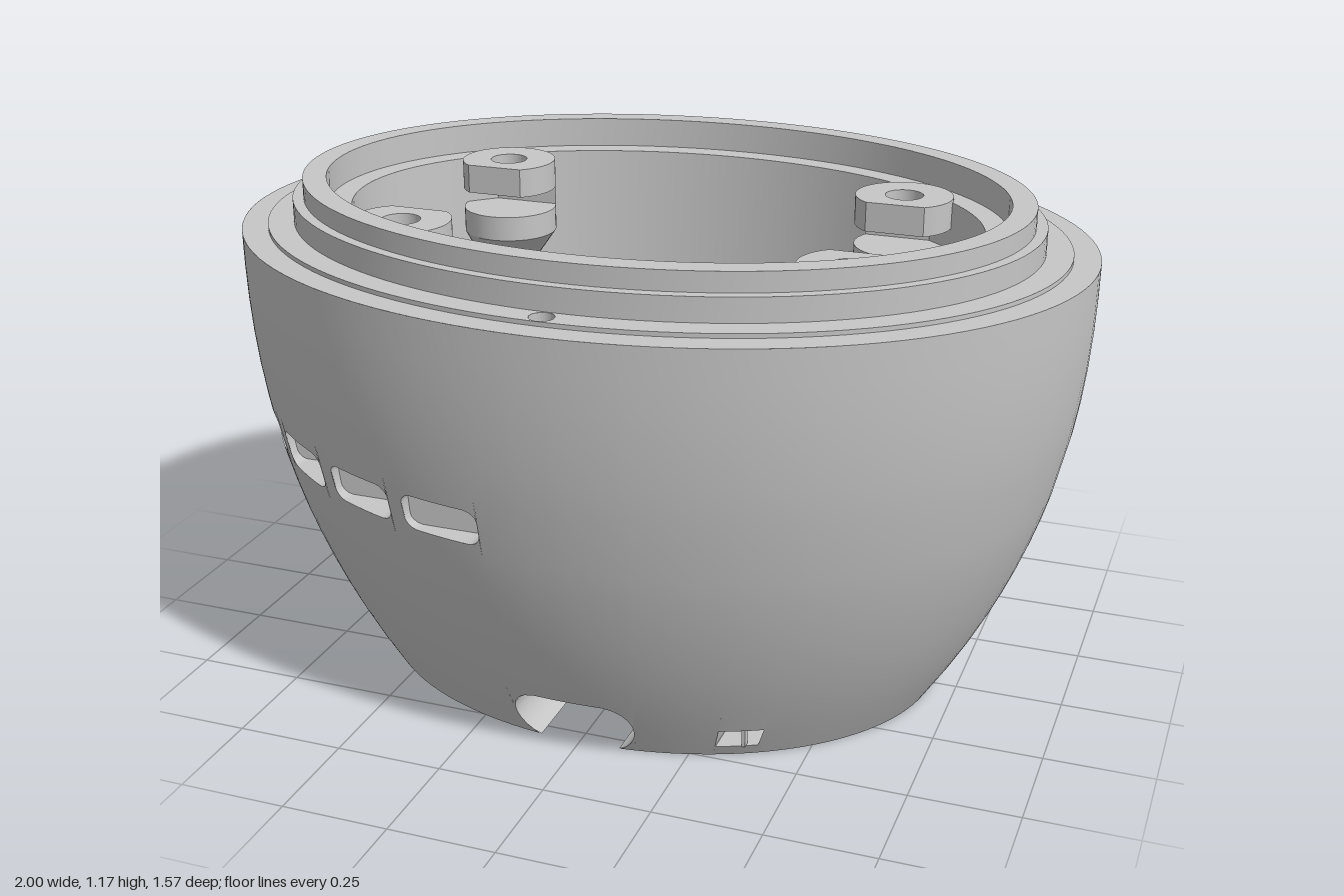
import * as THREE from 'three';
import { toCreasedNormals } from 'three/addons/utils/BufferGeometryUtils.js';

const grey = new THREE.MeshStandardMaterial({ color: 0xc6c6c6, side: THREE.DoubleSide });
grey.name = 'plain grey';

const ellipse = (rx, rz, th, y) => [rx * Math.sin(th), y, rz * Math.cos(th)];
// Curved outer wall and steep inner wall; angle 0 is the front, +x is positive
const outerWall = (th, y) => {
  const t = Math.pow(Math.max(0, 1 - y / 1.06), 2.3);
  return ellipse(1 - 0.31 * t, 0.785 - 0.245 * t, th, y);
};
const innerWall = (th, y) => {
  const t = 0.03 * (1.1 - y) / 0.85;
  return ellipse(0.745 - t, 0.53 - t, th, y);
};

// Openings: c = centre angle, a = half angle, ra/ry = corner radii, gable = height of a pointed top
const deg = Math.PI / 180;
const slots = [[-82, -72.5], [-69, -54.4], [-51, -38], [-35, -22.9], [-20.3, -8.3]].map(([p, q]) => ({
  c: (p + q) / 2 * deg, a: (q - p) / 2 * deg, ra: 2 * deg, ry: 0.025, y0: 0.555, y1: 0.64 }));
const notch = { c: 0, a: 0.195, ra: 0.1, ry: 0.075, y0: -0.01, y1: 0.14 };
const port = { c: 0.525, a: 0.072, ra: 0.001, ry: 0.001, y0: 0.03, y1: 0.085 };
const niche = { c: 0.29, a: 0.125, y0: 0.71, y1: 0.94, gable: 0.12 };

const span = (h, th) => {
  const d = Math.abs(th - h.c);
  if (h.gable) return [h.y0, h.y1 - h.gable * d / h.a];
  const k = Math.min(1, Math.max(0, (d - h.a + h.ra) / h.ra));
  const off = h.ry * (1 - Math.sqrt(1 - k * k));
  return [Math.max(0, h.y0 + off), h.y1 - off];
};
const holeAngles = h => Array.from({ length: 17 }, (_, i) => h.c - h.a * Math.cos(Math.PI * i / 16));
const outline = h => {
  const angles = holeAngles(h);
  return [...angles.map(t => [t, span(h, t)[0]]), ...angles.reverse().map(t => [t, span(h, t)[1]])];
};

function fromTriangles(pos) {
  const g = new THREE.BufferGeometry();
  g.setAttribute('position', new THREE.Float32BufferAttribute(pos, 3));
  g.computeVertexNormals();
  return toCreasedNormals(g, 0.5);
}
const quad = (pos, a, b, c, d) => pos.push(...a, ...b, ...c, ...a, ...c, ...d);

// Wall made of bands [y0, y1, rows, holes], all sharing the same columns
function wall(point, bands, inward) {
  const pos = [];
  const around = Array.from({ length: 121 }, (_, i) => (i / 60 - 1) * Math.PI);
  const angles = [...around, ...bands.flatMap(b => b[3].flatMap(holeAngles))].sort((a, b) => a - b);
  for (let i = 0; i < angles.length - 1; i++) {
    const [p, q] = [angles[i], angles[i + 1]];
    if (q - p < 1e-6) continue;
    const strip = (lo, hi, n) => {
      if (hi(p) - lo(p) + hi(q) - lo(q) < 1e-4) return;
      const at = (th, k) => point(th, lo(th) + (hi(th) - lo(th)) * k / n);
      for (let j = 0; j < n; j++) {
        const c = [at(p, j), at(q, j), at(q, j + 1), at(p, j + 1)];
        quad(pos, ...(inward ? c.reverse() : c));
      }
    };
    for (const [y0, y1, rows, holes] of bands) {
      const hole = holes.find(h => Math.abs((p + q) / 2 - h.c) < h.a);
      if (hole) {
        strip(() => y0, th => span(hole, th)[0], 1);
        strip(th => span(hole, th)[1], () => y1, 1);
      } else strip(() => y0, () => y1, rows);
    }
  }
  return fromTriangles(pos);
}

// Sides of an opening, running straight back from a wall to depth z
function tunnel(h, point, z) {
  const loop = outline(h), pos = [];
  const back = (t, y) => [point(t, y)[0], y, z];
  loop.forEach(([t, y], i) => {
    const [u, v] = loop[(i + 1) % loop.length];
    if (y === 0 && v === 0) return;
    quad(pos, point(t, y), back(t, y), back(u, v), point(u, v));
  });
  return fromTriangles(pos);
}

const toShape = pts => new THREE.Shape(pts.map(p => new THREE.Vector2(...p)));
// Flat end of a blind opening
const tunnelEnd = (h, point, z) => new THREE.ShapeGeometry(
  toShape(outline(h).map(([t, y]) => [point(t, y)[0], y]))).translate(0, 0, z);

// Stack of elliptical rings [rx, rz, y]
function loft(rings, n = 120) {
  const pos = [];
  for (let j = 0; j < rings.length - 1; j++) for (let i = 0; i < n; i++) {
    const at = (k, m) => ellipse(rings[k][0], rings[k][1], m * 2 * Math.PI / n, rings[k][2]);
    quad(pos, at(j, i), at(j, i + 1), at(j + 1, i + 1), at(j + 1, i));
  }
  return fromTriangles(pos);
}

// Flat sheet from [x, z] points
const sheet = (shape, y) => new THREE.ShapeGeometry(shape, 60).rotateX(Math.PI / 2).translate(0, y, 0);
// Upright walls along a polyline
function fence(pts, h) {
  const pos = [];
  for (let i = 0; i < pts.length - 1; i++) {
    const [[a, b], [c, d]] = [pts[i], pts[i + 1]];
    quad(pos, [a, 0, b], [c, 0, d], [c, h, d], [a, h, b]);
  }
  return fromTriangles(pos);
}

export function createModel() {
  const model = new THREE.Group();
  const add = (name, geometry, x = 0, y = 0, z = 0, parent = model) => {
    const m = new THREE.Mesh(geometry, grey);
    m.name = name;
    m.position.set(x, y, z);
    parent.add(m);
    return m;
  };
  const box = (name, w, h, d, x, y, z) => add(name, new THREE.BoxGeometry(w, h, d), x, y, z);

  // Shell and its openings
  add('outerShell', wall(outerWall, [[0, 0.16, 2, [notch, port]], [0.16, 0.53, 6, []],
    [0.53, 0.67, 1, slots], [0.67, 1.06, 5, []]], false));
  add('innerWall', wall(innerWall, [[0.25, 0.7, 1, []], [0.7, 0.95, 1, [niche]], [0.95, 1.1, 1, []]], true));
  for (const h of slots) {
    const z = outerWall(h.c - h.a, 0.6)[2] - 0.03;
    add('ventSlot', tunnel(h, outerWall, z));
    add('ventSlotEnd', tunnelEnd(h, outerWall, z));
  }
  add('wallNiche', tunnel(niche, innerWall, 0.62));
  add('wallNicheEnd', tunnelEnd(niche, innerWall, 0.62));
  add('cableNotch', tunnel(notch, outerWall, 0.36));
  add('portOpening', tunnel(port, outerWall, 0.38));
  box('portDivider', 0.008, 0.055, 0.02, 0.37, 0.0575, 0.47);

  // Stepped rim with a small locating hole in the front ledge
  add('outerRim', loft([[1, 0.785, 1.06], [0.94, 0.725, 1.06], [0.94, 0.725, 1.07]]));
  const ledge = new THREE.Shape().absellipse(0, 0, 0.94, 0.725, 0, Math.PI * 2);
  ledge.holes.push(new THREE.Path().absellipse(0, 0, 0.88, 0.665, 0, Math.PI * 2, true),
    new THREE.Path().absarc(0, 0.695, 0.027, 0, Math.PI * 2, true));
  add('rimLedge', sheet(ledge, 1.07));
  add('locatingHole', new THREE.CylinderGeometry(0.027, 0.027, 0.08, 24, 1, true), 0, 1.03, 0.695);
  add('locatingHoleEnd', new THREE.CircleGeometry(0.027, 24).rotateX(-Math.PI / 2), 0, 0.99, 0.695);
  add('innerRim', loft([[0.88, 0.665, 1.07], [0.88, 0.665, 1.125], [0.855, 0.64, 1.125], [0.855, 0.64, 1.17],
    [0.8, 0.585, 1.17], [0.8, 0.585, 1.1], [0.745, 0.53, 1.1]]));

  // Inner floor with its ribs and raised bar
  add('innerFloor', loft([[0.715, 0.5, 0.25], [0.71, 0.495, 0.25], [0.717, 0.507, 0.55], [0, 0, 0.55]]));
  box('crossRib', 1.42, 0.03, 0.03, 0, 0.555, 0).rotation.y = 0.01;
  box('backRib', 0.03, 0.03, 0.65, 0, 0.555, -0.185);
  box('frontRib', 0.03, 0.03, 0.17, 0, 0.555, 0.365);
  const barShape = toShape([[-0.17, 0], [-0.17, 0.23], [-0.27, 0.23], [-0.305, 0]]);
  add('raisedBar', new THREE.ExtrudeGeometry(barShape, { depth: 0.66, bevelEnabled: false })
    .rotateY(Math.PI / 2), -0.33, 0.55, 0);
  // Low domed boss against the front wall
  add('frontBoss', new THREE.SphereGeometry(0.1, 32, 10, 0, Math.PI * 2, 0, Math.PI / 2), 0, 0.54, 0.53);

  // Screw posts: drilled cap, open nut slot, body and tapering foot
  const r = 0.115;
  // Disc cut straight at offset v
  const cutDisc = v => {
    const a = Math.asin(v / r);
    return new THREE.Shape().absarc(0, 0, r, a, Math.PI - a);
  };
  const slab = (shape, depth) => new THREE.ExtrudeGeometry(shape, { depth, bevelEnabled: false, curveSegments: 32 })
    .rotateX(Math.PI / 2);
  for (const [x, z] of [[0.5, -0.3], [-0.51, -0.29], [0.52, 0.27], [-0.52, 0.285]]) {
    const post = new THREE.Group();
    post.name = 'screwPost';
    post.position.set(x, 0, z);
    post.rotation.y = z > 0 ? 0 : Math.PI;
    model.add(post);
    const cap = cutDisc(-0.092);
    cap.holes.push(new THREE.Path().absarc(0, 0, 0.045, 0, Math.PI * 2, true));
    add('postCap', slab(cap, 0.07), 0, 1.108, 0, post);
    add('nutSlotBack', slab(cutDisc(0.05), 0.05), 0, 1.038, 0, post);
    add('postBody', new THREE.CylinderGeometry(r, r, 0.06, 32), 0, 0.958, 0, post);
    // Foot leans outward into the wall
    const foot = new THREE.ConeGeometry(r, 0.22, 32).rotateX(Math.PI);
    const p = foot.attributes.position;
    for (let i = 0; i < p.count; i++) {
      const k = (0.11 - p.getY(i)) / 0.22;
      p.setX(i, p.getX(i) + Math.sign(x * z) * 0.05 * k);
      p.setZ(i, p.getZ(i) + 0.06 * k);
    }
    foot.computeVertexNormals();
    add('postFoot', foot, 0, 0.818, 0, post);
  }

  // Underside with a deep stepped recess opening into the front notch
  const recess = [[-0.107, 0.36], [-0.355, 0.36], [-0.355, -0.15], [-0.21, -0.15], [-0.21, -0.19], [0.18, -0.19],
    [0.18, -0.16], [0.355, -0.16], [0.355, 0.13], [0.25, 0.13], [0.25, 0.36], [0.107, 0.36]];
  const rimAngle = Math.asin(0.107 / 0.69);
  const edge = Array.from({ length: 97 }, (_, i) => {
    const [x, , z] = outerWall(rimAngle + (2 * Math.PI - 2 * rimAngle) * i / 96, 0);
    return [x, z];
  });
  const base = toShape([...edge, ...recess]);
  const pocket = [[0.32, 0.2], [0.42, 0.2], [0.42, 0.38], [0.32, 0.38]];
  base.holes.push(new THREE.Path(pocket.map(p => new THREE.Vector2(...p))));
  for (const x of [-0.46, 0.46]) {
    base.holes.push(new THREE.Path().absarc(x, 0.1, 0.027, 0, Math.PI * 2, true));
    add('screwHole', new THREE.CylinderGeometry(0.027, 0.027, 0.1, 20, 1, true), x, 0.05, 0.1);
    add('screwHoleEnd', new THREE.CircleGeometry(0.027, 20).rotateX(Math.PI / 2), x, 0.1, 0.1);
  }
  add('baseplate', sheet(base, 0));
  add('recessWalls', fence(recess, 0.35));
  add('recessCeiling', sheet(toShape(recess), 0.35));
  add('recessFrontWall', new THREE.PlaneGeometry(0.29, 0.21), 0, 0.245, 0.36);
  // Pocket behind the port; its front stays open
  add('portPocket', fence([pocket[3], pocket[0], pocket[1], pocket[2]], 0.1));
  add('portPocketCeiling', sheet(toShape(pocket), 0.1));
  return model;
}
